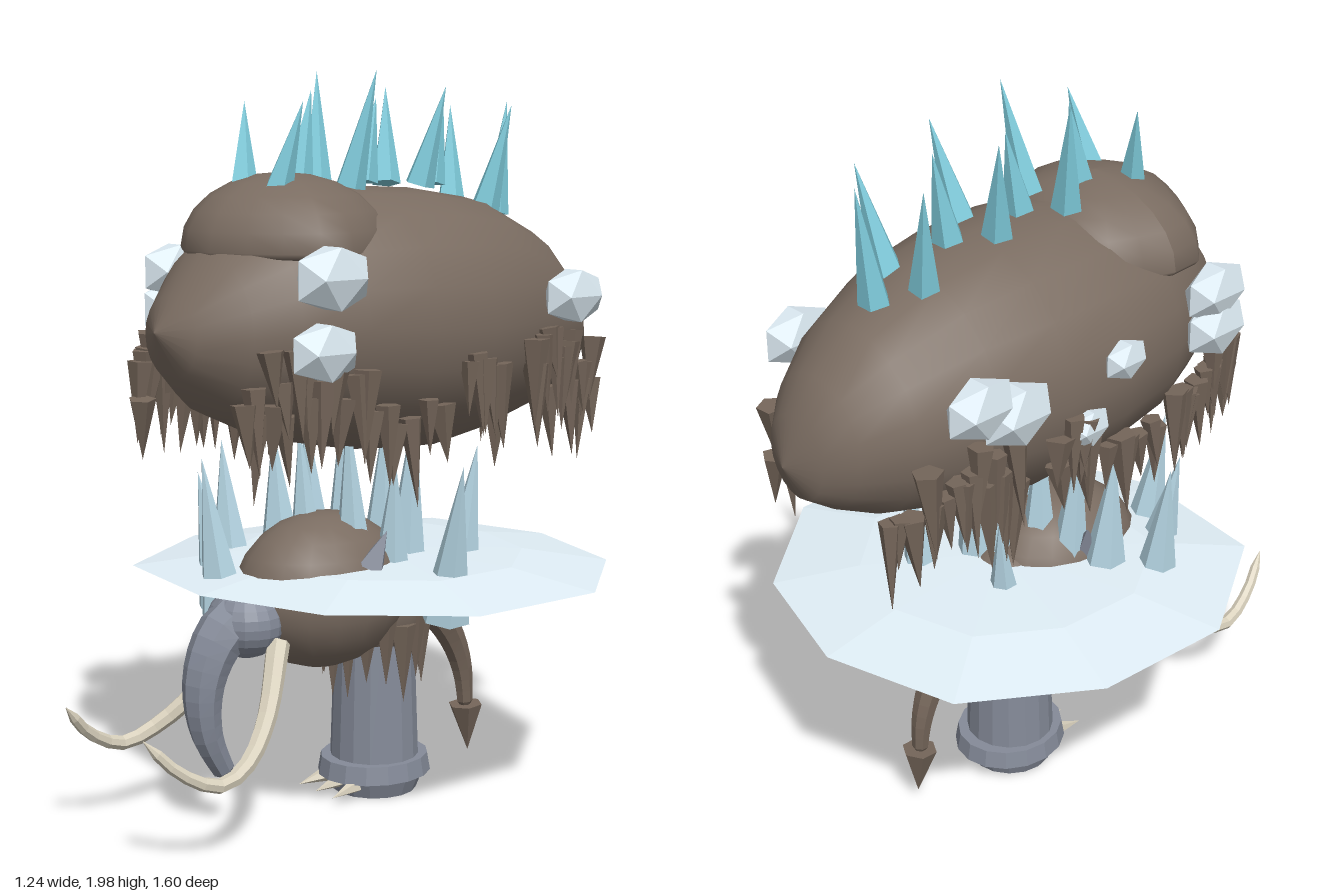
import * as THREE from 'three';

const V = (x, y, z) => new THREE.Vector3(x, y, z);
const paint = (color, flatShading = true) =>
  new THREE.MeshStandardMaterial({ color, flatShading, side: THREE.DoubleSide });

const hide = paint(0x7a6c61, false);
const hair = paint(0x75665a);
const skin = paint(0x858b99);
const ivory = paint(0xd8d0bc);
const iceSheet = paint(0xe0eef6);
const iceSpike = paint(0xb4d4e2);
const crystal = paint(0xd8e6ee);
const teal = paint(0x80cddd);

let seed = 7;
function rand(a, b) {
  seed = (seed * 16807) % 2147483647;
  return a + (b - a) * (seed / 2147483647);
}

function add(parent, name, geometry, material) {
  const mesh = new THREE.Mesh(geometry, material);
  mesh.name = name;
  parent.add(mesh);
  return mesh;
}

function group(parent, name) {
  const g = new THREE.Group();
  g.name = name;
  parent.add(g);
  return g;
}

// Pointed cone from a base point to a tip
function spike(parent, name, base, tip, radius, sides, material) {
  const dir = tip.clone().sub(base);
  const geo = new THREE.ConeGeometry(radius, dir.length(), sides);
  geo.translate(0, dir.length() / 2, 0);
  const mesh = add(parent, name, geo, material);
  mesh.position.copy(base);
  mesh.quaternion.setFromUnitVectors(V(0, 1, 0), dir.normalize());
}

function ellipsoid(parent, name, center, radii, material) {
  const mesh = add(parent, name, new THREE.SphereGeometry(1, 18, 12), material);
  mesh.position.copy(center);
  mesh.scale.copy(radii);
}

// Tube whose radius shrinks from r0 to r1 and closes at the tip
function taper(parent, name, points, r0, r1, sides, material) {
  const curve = new THREE.CatmullRomCurve3(points);
  const n = 14;
  const geo = new THREE.TubeGeometry(curve, n, 1, sides);
  const pos = geo.attributes.position;
  const v = V(0, 0, 0);
  for (let i = 0; i < pos.count; i++) {
    const t = Math.floor(i / (sides + 1)) / n;
    const c = curve.getPointAt(t);
    const r = t === 1 ? 0.001 : r0 + (r1 - r0) * t;
    v.fromBufferAttribute(pos, i).sub(c).multiplyScalar(r).add(c);
    pos.setXYZ(i, v.x, v.y, v.z);
  }
  geo.computeVertexNormals();
  add(parent, name, geo, material);
}

// Skin over elliptical sections [z, centre x, halfWidth, bottom, top], back to front
function loft(sections, sides) {
  const pos = [], index = [];
  for (const [z, cx, w, lo, hi] of sections)
    for (let j = 0; j < sides; j++) {
      const a = (j / sides) * Math.PI * 2;
      pos.push(cx + w * Math.cos(a), (lo + hi) / 2 + ((hi - lo) / 2) * Math.sin(a), z);
    }
  for (let i = 0; i < sections.length - 1; i++)
    for (let j = 0; j < sides; j++) {
      const k = (j + 1) % sides, a = i * sides, b = a + sides;
      index.push(a + j, a + k, b + j, a + k, b + k, b + j);
    }
  const geo = new THREE.BufferGeometry();
  geo.setAttribute('position', new THREE.Float32BufferAttribute(pos, 3));
  geo.setIndex(index);
  geo.computeVertexNormals();
  return geo;
}

export function createModel() {
  const model = new THREE.Group();
  model.name = 'frozenBeast';

  // Large shaggy upper body
  const sections = [
    [-0.8, 0.04, 0.001, 1.229, 1.231], [-0.77, 0.02, 0.1, 1.14, 1.37], [-0.71, 0.01, 0.165, 1.1, 1.46],
    [-0.6, 0, 0.24, 1.05, 1.56], [-0.4, 0, 0.318, 1.0, 1.65], [-0.2, 0, 0.36, 0.97, 1.68],
    [0, -0.005, 0.368, 0.98, 1.69], [0.2, -0.01, 0.343, 1.02, 1.67], [0.37, 0, 0.28, 1.07, 1.62],
    [0.48, 0, 0.215, 1.12, 1.54], [0.58, 0, 0.115, 1.22, 1.43], [0.63, 0, 0.001, 1.339, 1.341],
  ];
  add(model, 'upperBody', loft(sections, 20), hide);

  // Domed mane with a shallow, wavy overhanging lip
  const dome = new THREE.SphereGeometry(1, 18, 12);
  const dp = dome.attributes.position;
  for (let i = 0; i < dp.count; i++) {
    const y = dp.getY(i), wob = 1 + 0.045 * Math.sin(5 * Math.atan2(dp.getZ(i), dp.getX(i)));
    dp.setXYZ(i, dp.getX(i) * wob * 0.295, y * (y > 0 ? 0.195 : 0.05), dp.getZ(i) * wob * 0.265);
  }
  dome.computeVertexNormals();
  add(model, 'mane', dome, hide).position.set(-0.01, 1.535, 0.22);

  // Hair tufts in clumps along both flanks: z from, z to, top low, top high, count
  const fringe = group(model, 'bodyFringe');
  const clumps = [[0.53, 0.38, 1.14, 1.32, 9], [0.38, 0.2, 1.12, 1.28, 6], [0.2, -0.06, 1.08, 1.16, 6],
    [-0.1, -0.25, 1.12, 1.3, 7], [-0.35, -0.52, 1.14, 1.32, 9], [-0.52, -0.7, 1.14, 1.3, 7]];
  for (const s of [-1, 1])
    for (const [z0, z1, lo, hi, count] of clumps)
      for (let i = 0; i < count; i++) {
        const z = z0 + ((i + 0.5) / count) * (z1 - z0), y = rand(lo, hi);
        const x = s * 0.362 * Math.sqrt(1 - ((z + 0.08) / 0.84) ** 2) *
          Math.sqrt(1 - ((y - 1.33) / 0.42) ** 2);
        spike(fringe, 'hairTuft', V(x, y, z),
          V(x + s * rand(0, 0.02), y - rand(0.13, 0.25), z + rand(-0.02, 0.02)),
          rand(0.028, 0.042), 5, hair);
      }

  // Crest: alternating pairs and single spikes, leaning backwards
  const crest = group(model, 'crest');
  [[0.3, 1.67, 1.91], [0.06, 1.69, 1.99], [-0.18, 1.69, 1.95], [-0.42, 1.62, 1.9]].forEach(([z, y, top]) => {
    for (const s of [-1, 1])
      spike(crest, 'crestSpike', V(s * 0.07, y, z), V(s * 0.125, top, z - 0.045), 0.042, 5, teal);
  });
  [[0.17, 1.7, 1.94], [-0.05, 1.7, 1.92], [-0.29, 1.69, 1.93], [-0.53, 1.6, 1.91]].forEach(([z, y, top]) =>
    spike(crest, 'crestSpike', V(-0.01, y, z), V(-0.015, top, z - 0.05), 0.042, 5, teal));

  // Ice crystals stuck to the flanks: x, y, z, size
  const crystals = group(model, 'flankCrystals');
  [
    [0.325, 1.48, 0.32, 1], [0.33, 1.3, 0.35, 0.9], [0.32, 1.39, -0.52, 0.9],
    [-0.345, 1.46, 0.33, 0.9], [-0.35, 1.36, 0.33, 0.9], [-0.345, 1.43, -0.5, 0.9],
    [-0.345, 1.37, -0.38, 0.95], [-0.37, 1.4, -0.03, 0.6], [-0.36, 1.25, -0.15, 0.6],
  ].forEach(([x, y, z, k]) => {
    const m = add(crystals, 'flankCrystal', new THREE.IcosahedronGeometry(1, 0), crystal);
    m.position.set(x, y, z);
    m.scale.set(0.066 * k, 0.092 * k, 0.125 * k);
  });

  // Irregular ten-sided ice sheet, thin at the rim; one reach per corner
  const reach = [0.615, 0.61, 0.645, 0.65, 0.625, 0.615, 0.635, 0.625, 0.655, 0.69];
  const sheet = new THREE.LatheGeometry(
    [[0.001, -0.037], [0.56, -0.034], [1, 0], [0.62, 0.036], [0.001, 0.045]].map(p => new THREE.Vector2(...p)), 10);
  const sp = sheet.attributes.position;
  for (let i = 0; i < sp.count; i++) {
    const r = reach[Math.floor(i / 5) % 10];
    sp.setXYZ(i, sp.getX(i) * r, sp.getY(i), sp.getZ(i) * r);
  }
  add(model, 'iceSheet', sheet, iceSheet).position.set(0, 0.65, -0.115);

  // Leaning ice spikes that pierce the sheet: base x, z, tip x, y, z, radius
  const spikes = group(model, 'iceSpikes');
  [
    [0.31, -0.07, 0.4, 0.98, -0.05, 0.068], [0.13, -0.27, 0.16, 0.98, -0.32, 0.068],
    [-0.1, -0.19, -0.13, 0.9, -0.24, 0.06], [-0.31, 0.17, -0.35, 0.98, 0.18, 0.072],
    [-0.2, 0.29, -0.25, 0.92, 0.33, 0.068], [-0.1, 0.35, -0.13, 0.98, 0.4, 0.068],
    [-0.21, 0.07, -0.23, 1.02, 0.09, 0.08], [0.11, -0.05, 0.15, 0.98, -0.03, 0.068],
    [-0.12, 0.02, -0.15, 1.08, 0.04, 0.07], [0, -0.1, 0.02, 1.1, -0.11, 0.07],
    [0.06, 0.03, 0.06, 1.1, 0.06, 0.07], [-0.05, -0.02, -0.05, 1.1, -0.01, 0.07],
    [0.06, -0.14, 0.08, 1.1, -0.16, 0.07], [-0.05, 0.1, -0.06, 1.05, 0.13, 0.07],
  ].forEach(([x, z, tx, ty, tz, r]) =>
    spike(spikes, 'iceSpike', V(x, 0.56, z), V(tx, ty, tz), r, 6, iceSpike));

  // Lower head and its rear, with small ears
  ellipsoid(model, 'lowerHead', V(-0.01, 0.607, 0.09), V(0.2, 0.213, 0.26), hide);
  ellipsoid(model, 'lowerRump', V(-0.01, 0.55, -0.1), V(0.15, 0.17, 0.15), hide);
  for (const s of [-1, 1])
    spike(model, 'ear', V(s * 0.16, 0.69, 0.06), V(s * 0.19, 0.79, 0.03), 0.045, 4, skin);

  // Trunk with a rounded root
  ellipsoid(model, 'trunkRoot', V(-0.01, 0.555, 0.35), V(0.112, 0.095, 0.1), skin);
  taper(model, 'trunk', [V(-0.01, 0.57, 0.36), V(-0.01, 0.53, 0.43), V(-0.01, 0.42, 0.485),
    V(-0.01, 0.28, 0.48), V(-0.01, 0.135, 0.41)], 0.078, 0.028, 8, skin);

  // Tusks curving down, forward and up
  for (const s of [-1, 1])
    taper(model, 'tusk', [V(s * 0.08, 0.51, 0.31), V(s * 0.16, 0.34, 0.41), V(s * 0.21, 0.25, 0.51),
      V(s * 0.225, 0.22, 0.6), V(s * 0.21, 0.27, 0.71), V(s * 0.18, 0.365, 0.8)], 0.032, 0.013, 7, ivory);

  // Single leg with a flared foot ring and toenails
  const leg = group(model, 'leg');
  leg.position.set(-0.012, 0, -0.095);
  add(leg, 'legColumn', new THREE.CylinderGeometry(0.108, 0.125, 0.5, 16), skin).position.y = 0.32;
  const ring = add(leg, 'footRing', new THREE.CylinderGeometry(0.142, 0.15, 0.05, 16), skin);
  ring.position.y = 0.082;
  ring.scale.z = 1.1;
  add(leg, 'footSole', new THREE.CylinderGeometry(0.14, 0.118, 0.055, 16), skin).position.y = 0.036;
  for (const x of [-0.065, 0, 0.065])
    spike(leg, 'toenail', V(x, 0.05, 0.12), V(x * 1.15, 0.035, 0.21), 0.022, 5, ivory);

  // Hair skirt around the top of the leg
  const skirt = group(model, 'legFringe');
  for (let i = 0; i < 16; i++) {
    const a = (i / 16) * Math.PI * 2;
    const x = -0.01 + 0.13 * Math.cos(a), z = -0.085 + 0.14 * Math.sin(a);
    spike(skirt, 'hairTuft', V(x, rand(0.5, 0.57), z), V(x * 1.04, rand(0.27, 0.36), z), 0.038, 5, hair);
  }

  // Tail with a pointed tuft
  taper(model, 'tail', [V(0, 0.56, -0.2), V(0, 0.5, -0.29), V(0, 0.4, -0.37),
    V(0, 0.29, -0.415), V(0, 0.16, -0.43)], 0.058, 0.02, 7, hair);
  spike(model, 'tailTuft', V(0, 0.185, -0.43), V(0, 0.045, -0.44), 0.05, 6, hair);

  return model;
}
